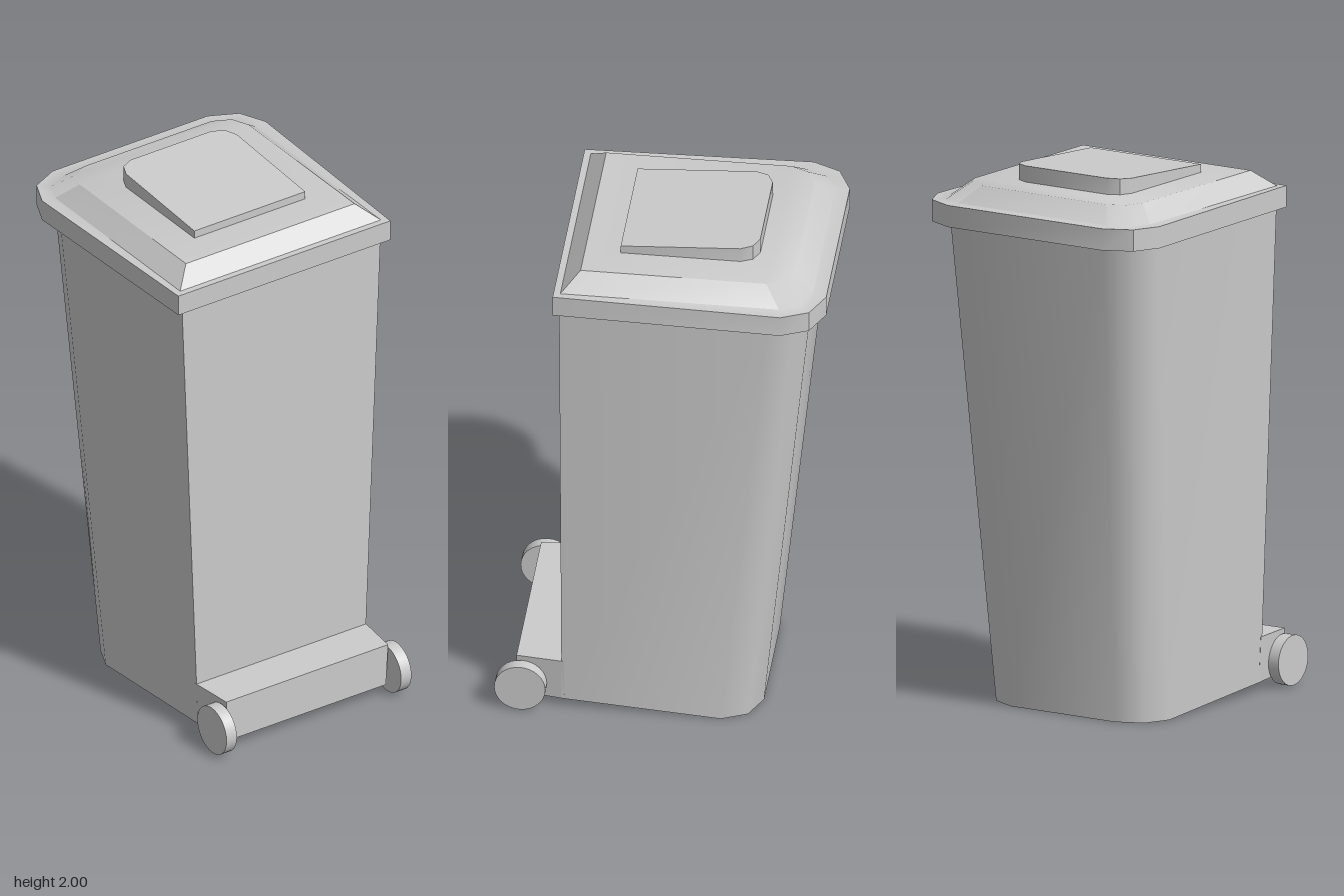
import * as THREE from 'three';
import { toCreasedNormals } from 'three/addons/utils/BufferGeometryUtils.js';

const material = new THREE.MeshStandardMaterial({ color: 0xcccccc });

// Mirrored outline: square front corners, rounded back corners of size c.
// y may be a number or a function of z.
function ring(wFront, wBack, zFront, zBack, c, y) {
  const half = [[wFront, zFront], [wBack, zBack + c],
    [wBack - c * 0.3, zBack + c * 0.33], [wBack - c, zBack]];
  const height = (z) => (typeof y === 'function' ? y(z) : y);
  const right = half.map(([x, z]) => [x, height(z), z]);
  return [...right, ...right.map(([x, h, z]) => [-x, h, z]).reverse()];
}

// Closed skin through rings listed from bottom to top
function loft(rings, crease) {
  const pos = [];
  const n = rings[0].length;
  const quad = (a, b, c, d) => pos.push(...a, ...b, ...c, ...a, ...c, ...d);
  for (let k = 0; k < rings.length - 1; k++) {
    for (let i = 0; i < n; i++) {
      const j = (i + 1) % n;
      quad(rings[k][i], rings[k][j], rings[k + 1][j], rings[k + 1][i]);
    }
  }
  // Caps as strips between mirrored points
  const low = rings[0], top = rings[rings.length - 1];
  for (let i = 0; i < n / 2 - 1; i++) {
    const m = n - 1 - i;
    quad(top[i], top[i + 1], top[m - 1], top[m]);
    quad(low[m], low[m - 1], low[i + 1], low[i]);
  }
  const geo = new THREE.BufferGeometry();
  geo.setAttribute('position', new THREE.Float32BufferAttribute(pos, 3));
  return toCreasedNormals(geo, crease);
}

export function createModel() {
  const group = new THREE.Group();
  const add = (name, geometry) => {
    const mesh = new THREE.Mesh(geometry, material);
    mesh.name = name;
    group.add(mesh);
    return mesh;
  };

  // Tapered container, its floor rising gently towards the wheels
  const floor = (z) => Math.max(0, (z + 0.22) * 0.062);
  add('body', loft([
    ring(0.365, 0.37, 0.36, -0.36, 0.14, floor),
    ring(0.435, 0.445, 0.36, -0.54, 0.14, 1.8),
  ], 0.8));

  // Lid with an overhanging rim and a bevelled top
  add('lid', loft([
    ring(0.465, 0.49, 0.38, -0.6, 0.15, 1.8),
    ring(0.465, 0.49, 0.38, -0.6, 0.15, 1.88),
    ring(0.44, 0.44, 0.355, -0.55, 0.11, 1.88),
    ring(0.37, 0.37, 0.29, -0.48, 0.095, 1.94),
  ], 0.67));

  // Raised panel sloping up towards the back
  add('lidPanel', loft([
    ring(0.243, 0.243, 0.16, -0.34, 0.065, 1.93),
    ring(0.243, 0.243, 0.16, -0.34, 0.065, (z) => 1.97 + (0.16 - z) * 0.06),
  ], 0.7));

  // Axle housing across the foot of the front
  const housing = (front, back, yFront, yBack) => [
    [front, yFront, 0.525], [back, yBack, 0.35],
    [-back, yBack, 0.35], [-front, yFront, 0.525]];
  add('axleHousing', loft([
    housing(0.345, 0.365, 0.04, floor(0.35)),
    housing(0.355, 0.373, 0.205, 0.205),
  ], 0.3));

  // Wheels
  for (const side of [1, -1]) {
    const geo = new THREE.CylinderGeometry(0.093, 0.093, 0.045, 32);
    geo.rotateZ(Math.PI / 2);
    const wheel = add(side > 0 ? 'leftWheel' : 'rightWheel', geo);
    wheel.position.set(side * 0.383, 0.095, 0.507);
  }
  return group;
}
